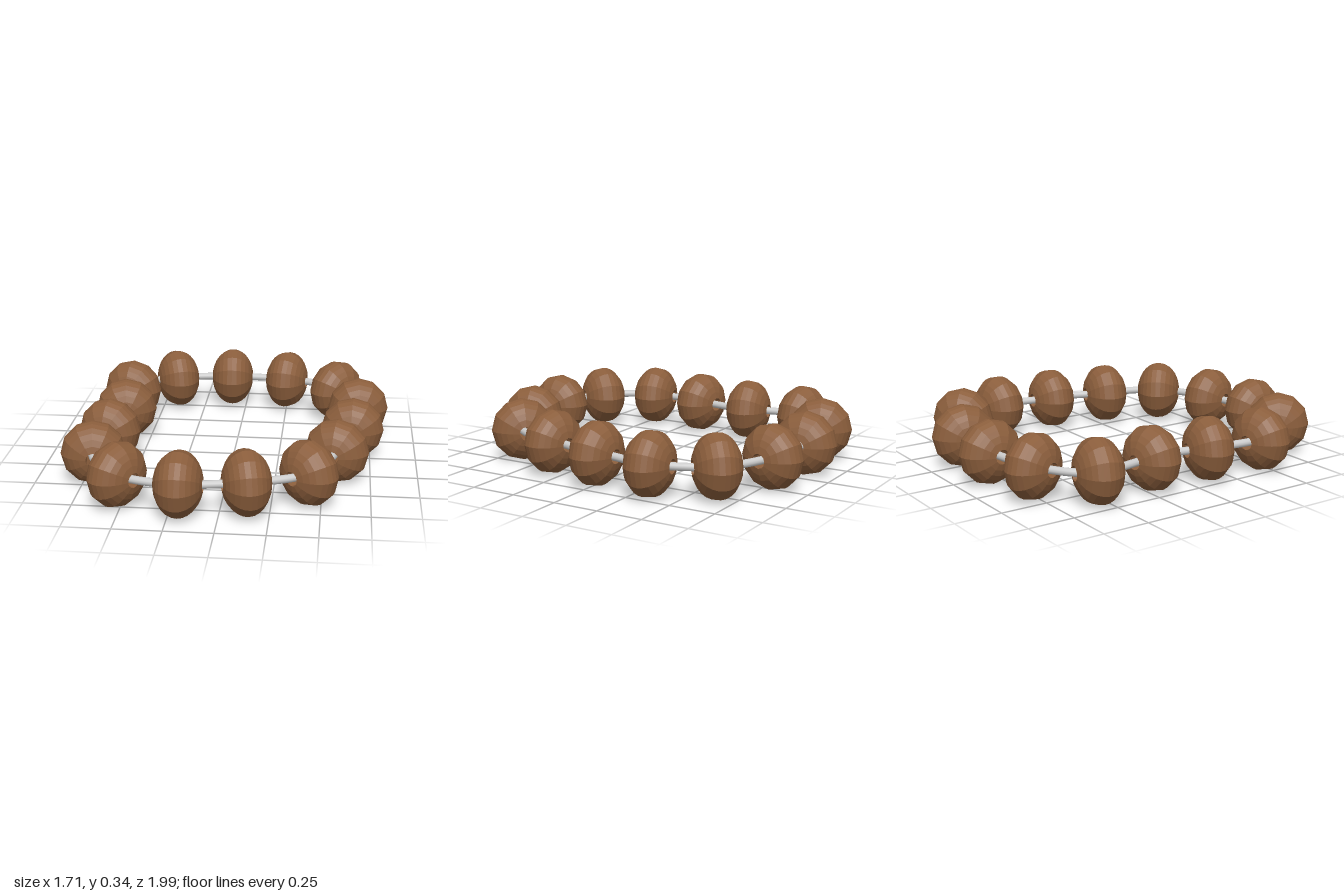
import * as THREE from 'three';

// Each bead: x, z and heading of its hole in degrees (clockwise seen from above)
const BEADS = [
  [-0.085, -0.83, -3], [0.25, -0.805, 11], [0.55, -0.65, 47], [0.68, -0.35, 85],
  [0.65, -0.015, 94], [0.57, 0.315, 103], [0.435, 0.62, 133], [0.135, 0.77, 165],
  [-0.195, 0.82, 180], [-0.515, 0.73, 216], [-0.69, 0.455, 260], [-0.665, 0.12, 282],
  [-0.635, -0.215, 262], [-0.655, -0.55, 283], [-0.415, -0.77, 340],
];
const HEIGHT = 0.172, RADIUS = 0.17, HALF = 0.125, HOLE = 0.038;

// Oval bead pierced by a hole, lying along x
function beadGeometry() {
  const profile = [];
  const start = Math.acos(HOLE / RADIUS), steps = 12;
  for (let i = 0; i <= steps; i++) {
    const a = -start + (2 * start * i) / steps;
    profile.push(new THREE.Vector2(RADIUS * Math.cos(a), HALF * Math.sin(a)));
  }
  profile.push(profile[0].clone()); // wall of the hole
  return new THREE.LatheGeometry(profile, 12).rotateZ(-Math.PI / 2);
}

export function createModel() {
  const group = new THREE.Group();
  group.name = 'beadBracelet';
  const wood = new THREE.MeshStandardMaterial({ color: 0x8b5e3c, flatShading: true });
  const grey = new THREE.MeshStandardMaterial({ color: 0xcccccc });
  const geometry = beadGeometry();
  const path = [];

  // Beads, and the two ends of each hole for the cord to pass through
  BEADS.forEach(([x, z, degrees], i) => {
    const angle = THREE.MathUtils.degToRad(degrees);
    const bead = new THREE.Mesh(geometry, wood);
    bead.name = `bead${i + 1}`;
    bead.position.set(x, HEIGHT, z);
    bead.rotation.y = -angle;
    group.add(bead);
    for (const s of [-0.08, 0.08]) {
      path.push(new THREE.Vector3(x + s * Math.cos(angle), HEIGHT, z + s * Math.sin(angle)));
    }
  });

  // Closed cord threaded through every bead
  const curve = new THREE.CatmullRomCurve3(path, true);
  const cord = new THREE.Mesh(new THREE.TubeGeometry(curve, 180, 0.021, 12, true), grey);
  cord.name = 'cord';
  group.add(cord);
  return group;
}
